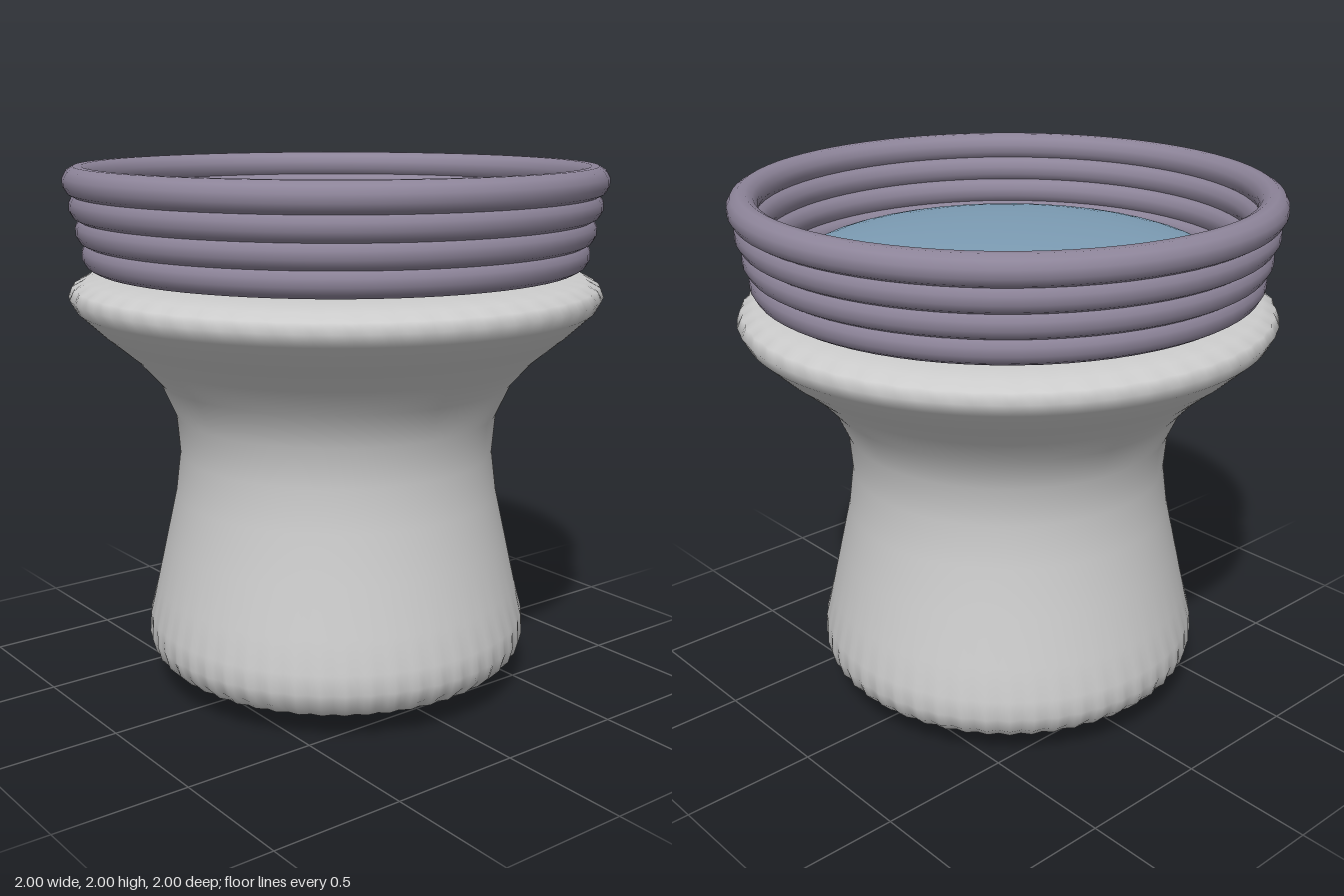
import * as THREE from 'three';
import { mergeVertices } from 'three/addons/utils/BufferGeometryUtils.js';

const material = (color) => new THREE.MeshStandardMaterial({ color });

// Lathe with welded seams and smooth normals; reshape may move each vertex.
function turned(profile, segments, reshape) {
  const points = profile.map(([r, y]) => new THREE.Vector2(r, y));
  let geometry = new THREE.LatheGeometry(points, segments);
  if (reshape) {
    const pos = geometry.attributes.position;
    const v = new THREE.Vector3();
    for (let i = 0; i < pos.count; i++) {
      reshape(v.fromBufferAttribute(pos, i));
      pos.setXYZ(i, v.x, v.y, v.z);
    }
  }
  geometry.deleteAttribute('uv');
  geometry.deleteAttribute('normal');
  geometry = mergeVertices(geometry, 1e-5);
  geometry.computeVertexNormals();
  return geometry;
}

export function createModel() {
  const model = new THREE.Group();
  const add = (name, geometry, mat) => {
    const mesh = new THREE.Mesh(geometry, mat);
    mesh.name = name;
    model.add(mesh);
    return mesh;
  };

  // Waisted body with a flared lip and a shallow pointed underside
  const bodyProfile = [
    [0, 0.005], [0.25, 0.028], [0.48, 0.05], [0.6, 0.075], [0.67, 0.105],
    [0.715, 0.15], [0.732, 0.205], [0.73, 0.28], [0.7, 0.4], [0.66, 0.58],
    [0.62, 0.76], [0.6, 0.92], [0.612, 1.07], [0.67, 1.2], [0.76, 1.3],
    [0.88, 1.4], [0.97, 1.485], [0.993, 1.53], [0.975, 1.565], [0.93, 1.59],
    [0.86, 1.605], [0.75, 1.612], [0, 1.615],
  ];
  // Fine fluting around the foot and, fainter, around the lip
  const flute = (v) => {
    const foot = Math.max(0, 1 - Math.abs(v.y - 0.13) / 0.18);
    const lip = Math.max(0, 1 - Math.abs(v.y - 1.565) / 0.05);
    const wave = Math.cos(52 * Math.atan2(v.x, v.z));
    const scale = 1 + wave * (0.011 * foot + 0.005 * lip);
    v.x *= scale;
    v.z *= scale;
  };
  add('body', turned(bodyProfile, 208, flute), material(0xcccccc));

  // Flattened ball resting on the body inside the rings
  const ball = add('flattenedBall', new THREE.SphereGeometry(0.81, 40, 24), material(0x7d9db5));
  ball.scale.y = 0.168;
  ball.position.y = 1.69;

  // Four stacked rings, each wider than the one below
  const ringMaterial = material(0x8d8499);
  const sides = 12;
  for (let n = 0; n < 4; n++) {
    const section = [];
    for (let k = 0; k <= sides; k++) {
      const a = ((k - 0.5) * 2 * Math.PI) / sides;
      section.push([0.885 + 0.02 * n + 0.056 * Math.cos(a), 1.682 + 0.088 * n + 0.056 * Math.sin(a)]);
    }
    add('ring' + (n + 1), turned(section, 72), ringMaterial);
  }
  return model;
}
